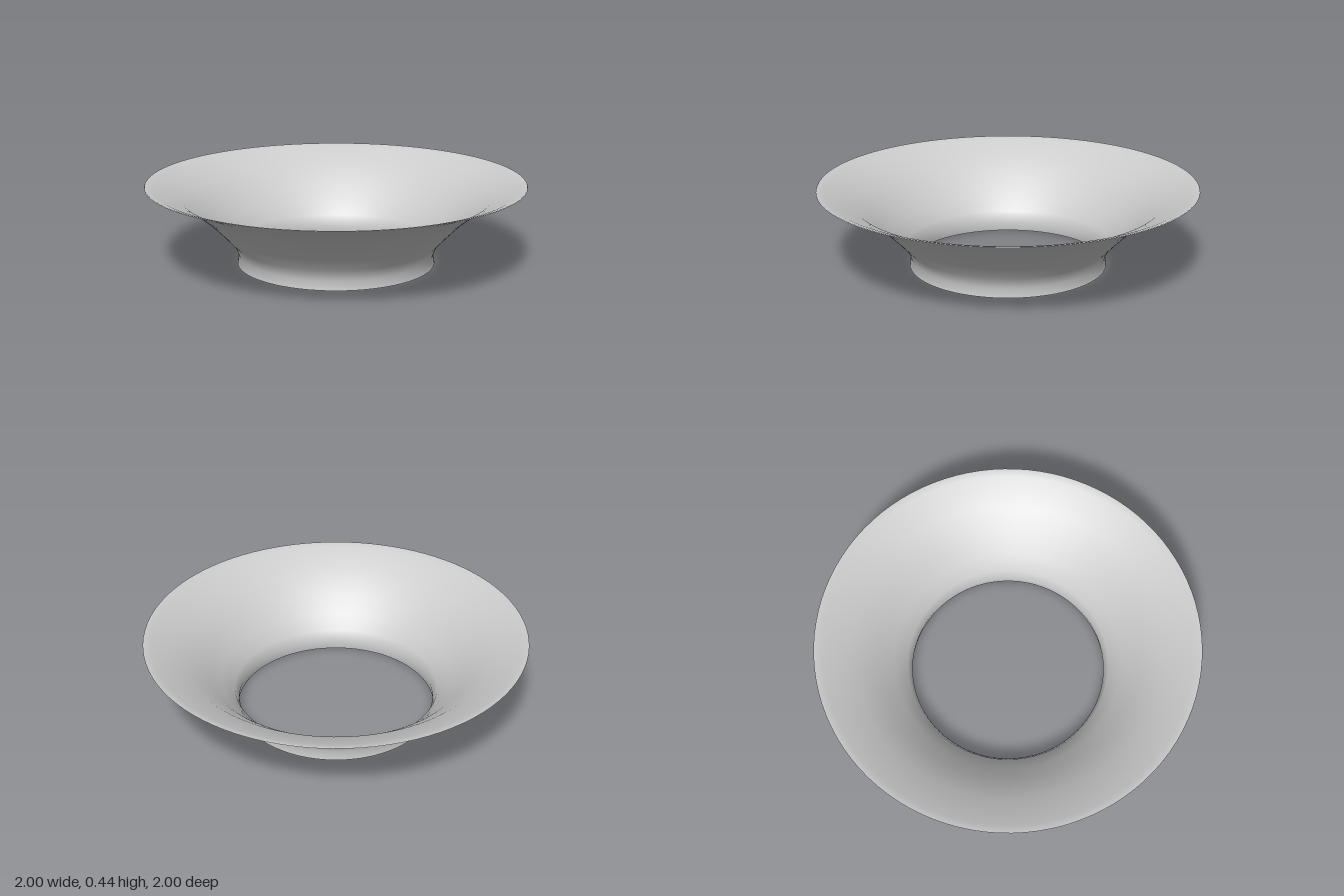
import * as THREE from 'three';

export function createModel() {
  const group = new THREE.Group();
  group.name = 'flaredRing';

  // Thin flared wall: short neck, concave flare, tiny turned-over lip
  const profile = [
    [0.525, 0], [0.518, 0.05], [0.54, 0.11], [0.605, 0.18], [0.69, 0.265],
    [0.81, 0.36], [0.96, 0.427], [0.997, 0.438], [1, 0.434],
  ].map(([r, y]) => new THREE.Vector2(r, y));

  const wall = new THREE.Mesh(
    new THREE.LatheGeometry(profile, 96),
    new THREE.MeshStandardMaterial({ color: 0xcccccc, side: THREE.DoubleSide })
  );
  wall.name = 'flaredWall';
  group.add(wall);
  return group;
}
